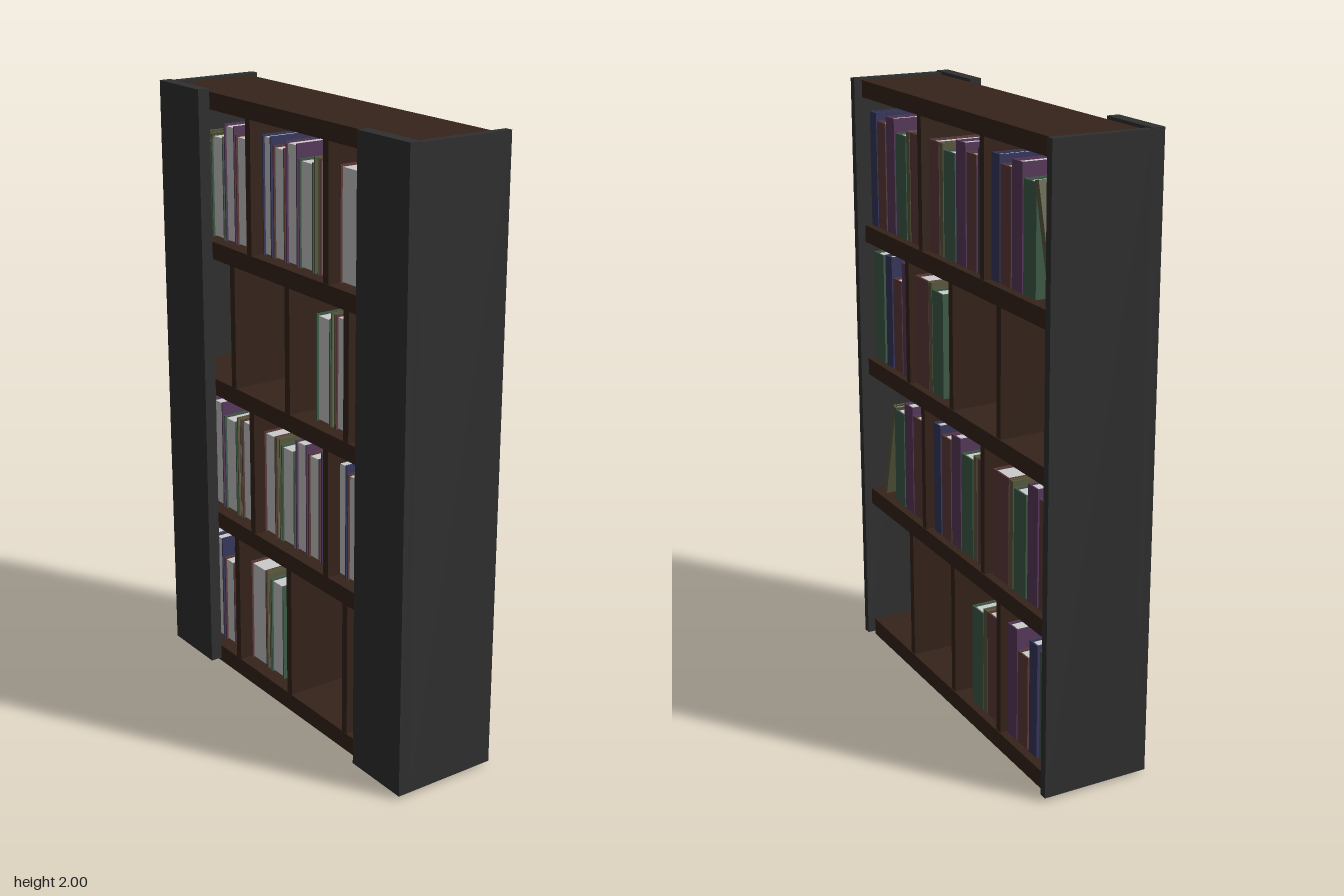
import * as THREE from 'three';

const material = (color) => new THREE.MeshStandardMaterial({ color });

export function createModel() {
  const model = new THREE.Group();
  const frame = material(0x303030);
  const wood = material(0x36241a);
  const pages = material(0xcccccc);
  const covers = {
    blue: material(0x38385f), red: material(0x5e3c3a), purple: material(0x593a5d),
    green: material(0x405d49), olive: material(0x5b5b40),
  };
  const bookHeight = { blue: 0.378, red: 0.353, purple: 0.378, green: 0.335, olive: 0.353 };

  // Box given by its lower and upper limits on each axis
  function slab(parent, name, mat, [x0, x1], [y0, y1], [z0, z1]) {
    const mesh = new THREE.Mesh(new THREE.BoxGeometry(x1 - x0, y1 - y0, z1 - z0), mat);
    mesh.position.set((x0 + x1) / 2, (y0 + y1) / 2, (z0 + z1) / 2);
    mesh.name = name;
    parent.add(mesh);
  }

  // Side panels and the wide strips behind them
  for (const s of [1, -1]) {
    const span = (a, b) => (s > 0 ? [a, b] : [-b, -a]);
    slab(model, 'sidePanel', frame, [-0.14, 0.175], [0.012, 1.997], span(0.623, 0.65));
    slab(model, 'backStrip', frame, [-0.18, -0.14], [0.012, 2], span(0.415, 0.65));
  }

  // Shelf boards
  const shelves = [[0, 0.06], [0.51, 0.567], [0.988, 1.045], [1.453, 1.51], [1.935, 1.99]];
  for (const y of shelves) slab(model, 'shelf', wood, [-0.14, 0.148], y, [-0.624, 0.624]);

  // Upright dividers, alternating three and two per tier
  for (let tier = 0; tier < 4; tier++) {
    for (const z of tier % 2 ? [0.21, -0.2] : [0.313, 0.006, -0.302]) {
      slab(model, 'divider', wood, [-0.139, 0.145],
        [shelves[tier][1], shelves[tier + 1][0]], [z - 0.013, z + 0.013]);
    }
  }

  // Hardback standing on its local y = 0: spine, two boards and a page block
  function makeBook(color, width, height) {
    const book = new THREE.Group();
    book.name = 'book';
    const mat = covers[color], w = width / 2, t = 0.005;
    slab(book, 'spine', mat, [0.117, 0.122], [0, height], [-w, w]);
    for (const z of [[-w, -w + t], [w - t, w]]) {
      slab(book, 'coverBoard', mat, [-0.1, 0.117], [0, height], z);
    }
    slab(book, 'pageBlock', pages, [-0.093, 0.117], [0.004, height - 0.007], [-w + t, w - t]);
    return book;
  }

  // Each row lists colour, one edge and the other along z, with an optional height
  const fullRow = [
    ['blue', 0.624, 0.575], ['red', 0.568, 0.509], ['purple', 0.5, 0.44],
    ['green', 0.43, 0.356], ['olive', 0.35, 0.328], ['red', 0.324, 0.225],
    ['red', 0.19, 0.123], ['olive', 0.118, 0.096], ['green', 0.09, 0.016],
    ['purple', 0.008, -0.053], ['red', -0.06, -0.122], ['blue', -0.132, -0.18],
    ['blue', -0.217, -0.265], ['red', -0.27, -0.332], ['purple', -0.338, -0.398],
    ['green', -0.405, -0.477],
  ];
  const shortRow = [
    ['green', 0.613, 0.541, 0.375], ['blue', 0.525, 0.477, 0.382], ['red', 0.467, 0.405, 0.315],
    ['purple', 0.4, 0.34, 0.382], ['red', 0.3, 0.206, 0.363], ['olive', 0.204, 0.182, 0.363],
    ['green', 0.179, 0.105, 0.343],
  ];

  // The lower two tiers carry the same rows turned end for end
  const tiers = [
    { row: shortRow, s: -1, shift: 0.02 }, { row: fullRow, s: -1, shift: 0 },
    { row: shortRow, s: 1, shift: 0 }, { row: fullRow, s: 1, shift: 0 },
  ];
  tiers.forEach(({ row, s, shift }, tier) => {
    const books = new THREE.Group();
    books.name = 'bookRow';
    books.position.y = shelves[tier][1];
    for (const [color, a, b, height = bookHeight[color]] of row) {
      const book = makeBook(color, a - b, height);
      book.position.z = s * (a + b) / 2 + shift;
      books.add(book);
    }
    // Thin book leaning on the end of a full row
    if (row === fullRow) {
      const book = makeBook('olive', 0.022, 0.35);
      book.name = 'leaningBook';
      book.rotation.x = s * 0.25;
      book.position.set(0, 0.003, s * -0.564);
      books.add(book);
    }
    model.add(books);
  });

  return model;
}
